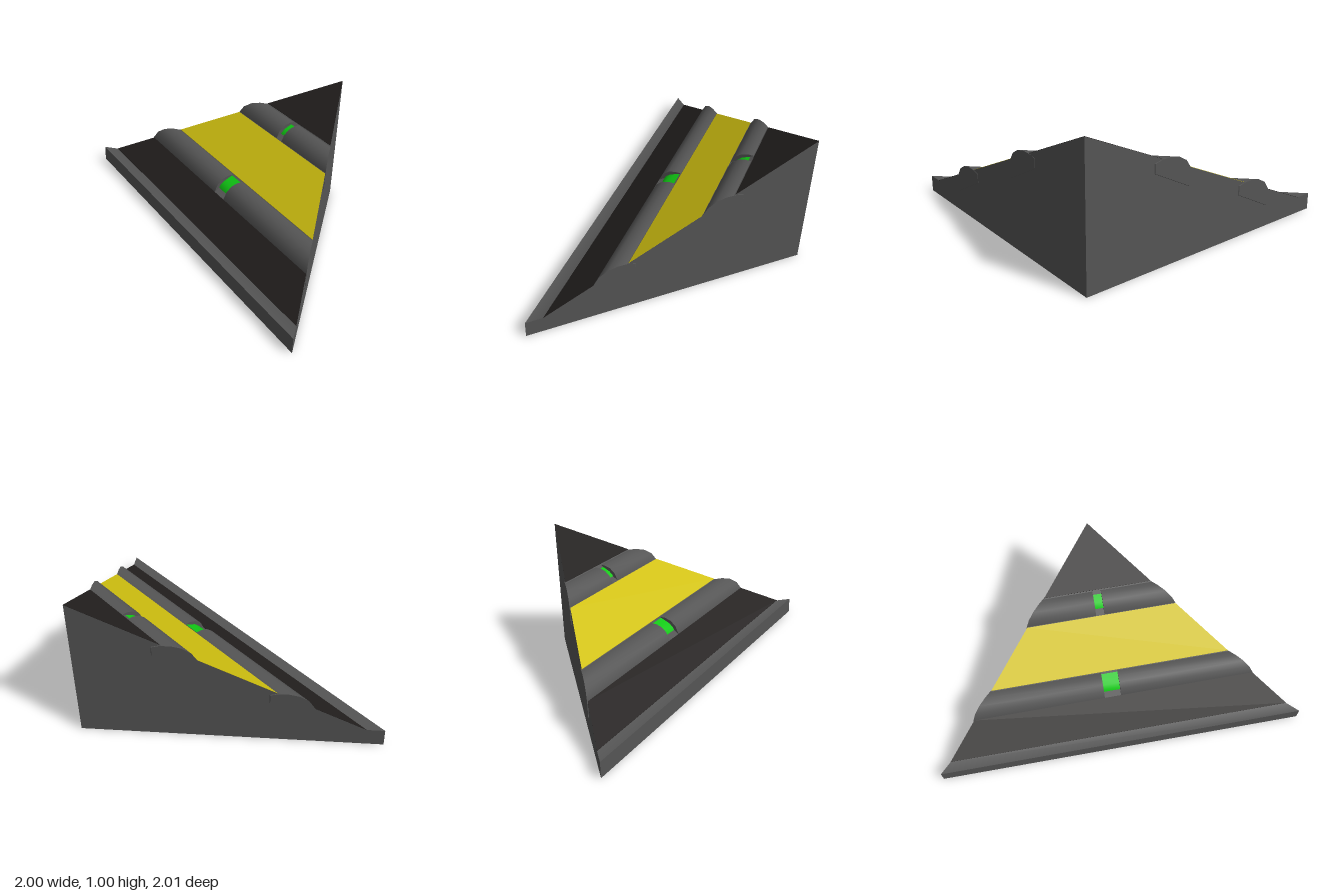
import * as THREE from 'three';
import { toCreasedNormals } from 'three/addons/utils/BufferGeometryUtils.js';

// Diagonal frame: d runs from the long edge to the tall corner, t runs along the long edge.
const point = (d, y, t) => new THREE.Vector3((d + t) / 2, y, (t - d) / 2);

// Ends cut flush with the two square sides of the wedge
const backEnd = (d) => d - 2;
const sideEnd = (d) => 2 - d;
const slopeY = (d) => 0.12 + (d - 0.12) * (0.88 / 1.88);

// Sweeps a counter-clockwise (d, y) profile along t; each end may be mitred.
function prism(profile, start, end) {
  const a = profile.map(([d, y]) => point(d, y, start(d)));
  const b = profile.map(([d, y]) => point(d, y, end(d)));
  const pos = [];
  const tri = (p, q, r) => {
    const area = q.clone().sub(p).cross(r.clone().sub(p)).length();
    if (area > 1e-9) for (const v of [p, q, r]) pos.push(v.x, v.y, v.z);
  };
  const n = profile.length;
  for (let i = 0; i < n; i++) {
    const j = (i + 1) % n;
    tri(a[i], a[j], b[j]);
    tri(a[i], b[j], b[i]);
  }
  const flat = profile.map(([d, y]) => new THREE.Vector2(d, y));
  for (const [i, j, k] of THREE.ShapeUtils.triangulateShape(flat, [])) {
    tri(b[i], b[j], b[k]);
    tri(a[k], a[j], a[i]);
  }
  const geo = new THREE.BufferGeometry();
  geo.setAttribute('position', new THREE.Float32BufferAttribute(pos, 3));
  return toCreasedNormals(geo, 0.75);
}

export function createModel() {
  const group = new THREE.Group();
  const grey = new THREE.MeshStandardMaterial({ color: 0x555555 });
  const black = new THREE.MeshStandardMaterial({ color: 0x221f1e });
  const yellow = new THREE.MeshStandardMaterial({ color: 0xd0c010 });
  const green = new THREE.MeshStandardMaterial({ color: 0x10c814 });

  const add = (name, material, profile, start = backEnd, end = sideEnd) => {
    const mesh = new THREE.Mesh(prism(profile, start, end), material);
    mesh.name = name;
    group.add(mesh);
  };

  // Corner wedge with a low lip along the long edge
  add('wedgeBody', grey, [[0, 0], [2, 0], [2, 1], [0.12, 0.12], [0, 0.12]]);

  // Thin coloured panels on the slope
  const panel = (name, material, d0, d1) => add(name, material, [
    [d0, slopeY(d0)], [d1, slopeY(d1)],
    [d1, slopeY(d1) + 0.002], [d0, slopeY(d0) + 0.002],
  ]);
  panel('lowerPanel', black, 0.12, 0.46);
  panel('middlePanel', yellow, 0.7, 1.2);
  panel('upperPanel', black, 1.43, 2);

  // Rounded pipes, each with a gap showing a glowing core
  const pipe = [[0.46, 0.155], [0.75, 0.31], [0.75, 0.375], [0.7, 0.388],
    [0.63, 0.39], [0.56, 0.376], [0.5, 0.34], [0.46, 0.28]];
  const core = [[0.5, 0.2], [0.68, 0.3], [0.68, 0.383], [0.62, 0.366],
    [0.57, 0.35], [0.53, 0.325], [0.5, 0.28]];
  const pipes = [
    { label: 'lower', dd: 0, dy: 0, gap: [-0.11, 0.07] },
    { label: 'upper', dd: 0.74, dy: 0.34, gap: [-0.06, 0.03] },
  ];
  for (const { label, dd, dy, gap } of pipes) {
    const shift = (profile) => profile.map(([d, y]) => [d + dd, y + dy]);
    const [g0, g1] = gap;
    // pipe ends stand just proud of the wedge sides
    add(label + 'PipeBack', grey, shift(pipe), (d) => backEnd(d) - 0.01, () => g0);
    add(label + 'PipeSide', grey, shift(pipe), () => g1, (d) => sideEnd(d) + 0.004);
    add(label + 'Core', green, shift(core), () => g0 - 0.01, () => g1 + 0.01);
  }
  return group;
}
